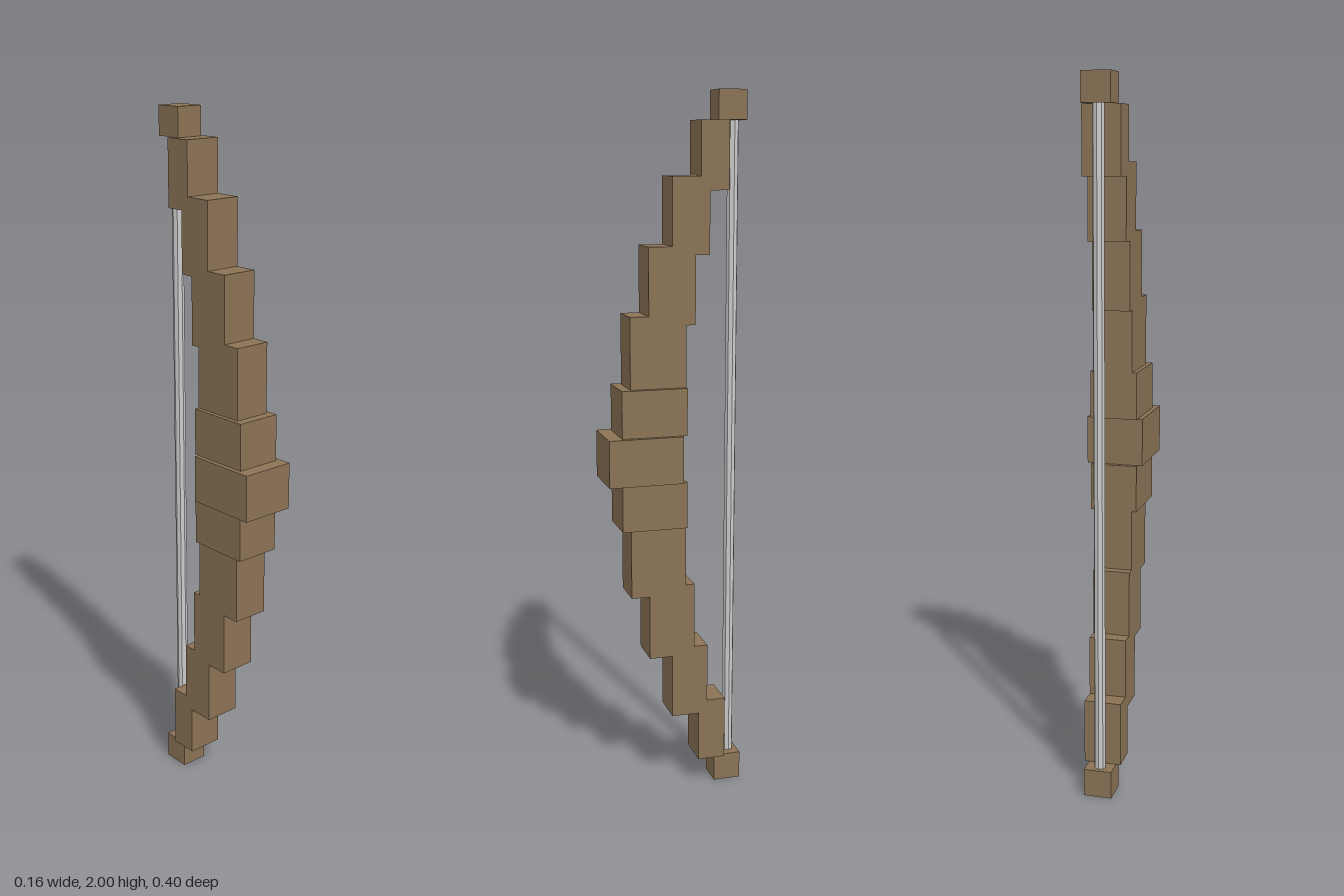
import * as THREE from 'three';

export function createModel() {
  const bow = new THREE.Group();
  bow.name = 'bow';
  const wood = new THREE.MeshStandardMaterial({ color: 0x8b7355, flatShading: true });
  const grey = new THREE.MeshStandardMaterial({ color: 0xcccccc, flatShading: true });

  // Block given by its width and its y and z ranges
  function block(name, width, y0, y1, z0, z1) {
    const mesh = new THREE.Mesh(new THREE.BoxGeometry(width, y1 - y0, z1 - z0), wood);
    mesh.position.set(0, (y0 + y1) / 2, (z0 + z1) / 2);
    mesh.name = name;
    bow.add(mesh);
  }

  // Central hand grip
  block('grip', 0.16, 0.933, 1.067, -0.013, 0.2);

  // Stepped limb, mirrored about y = 1: name, width, y range, z range
  const steps = [
    ['Collar', 0.133, 1.067, 1.2, -0.027, 0.16],
    ['LimbInner', 0.107, 1.2, 1.4, -0.027, 0.133],
    ['LimbMiddle', 0.107, 1.373, 1.587, -0.053, 0.08],
    ['LimbOuter', 0.107, 1.563, 1.773, -0.093, 0.013],
    ['LimbEnd', 0.107, 1.735, 1.92, -0.147, -0.067],
    ['Tip', 0.08, 1.92, 2, -0.2, -0.12],
  ];
  for (const [name, width, y0, y1, z0, z1] of steps) {
    block('upper' + name, width, y0, y1, z0, z1);
    block('lower' + name, width, 2 - y1, 2 - y0, z0, z1);
  }

  // Bowstring stretched between the tips
  const string = new THREE.Mesh(new THREE.CylinderGeometry(0.016, 0.016, 1.86, 8), grey);
  string.position.set(0, 1, -0.173);
  string.name = 'bowstring';
  bow.add(string);

  return bow;
}
